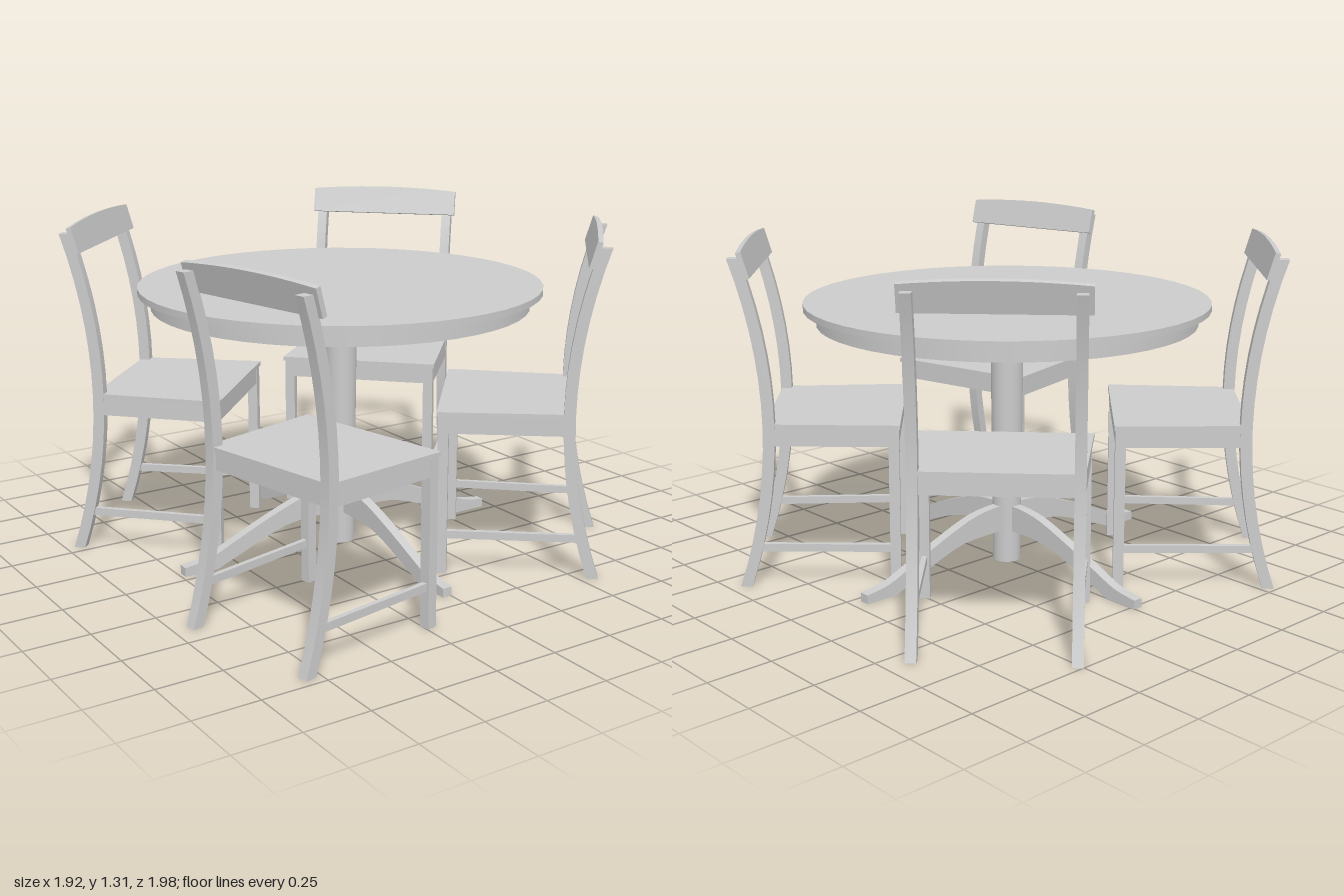
import * as THREE from 'three';
import { toCreasedNormals } from 'three/addons/utils/BufferGeometryUtils.js';

const material = new THREE.MeshStandardMaterial({ color: 0xcccccc });

function add(parent, name, geometry, x = 0, y = 0, z = 0) {
  const mesh = new THREE.Mesh(geometry, material);
  mesh.name = name;
  mesh.position.set(x, y, z);
  parent.add(mesh);
  return mesh;
}

// Side profile given as [forward, height], extruded sideways about x = 0
function sideProfile(points, width) {
  const shape = new THREE.Shape(points.map(p => new THREE.Vector2(p[0], p[1])));
  const g = new THREE.ExtrudeGeometry(shape, { depth: width, bevelEnabled: false });
  g.translate(0, 0, -width / 2).rotateY(-Math.PI / 2);
  return toCreasedNormals(g, 0.5);
}

// Straight bar between two points
function bar(parent, name, a, b, width, height) {
  const from = new THREE.Vector3(...a), to = new THREE.Vector3(...b);
  const geometry = new THREE.BoxGeometry(width, height, from.distanceTo(to));
  const mesh = add(parent, name, geometry, ...from.clone().lerp(to, 0.5).toArray());
  mesh.lookAt(to);
}

function createTable() {
  const table = new THREE.Group();
  table.name = 'table';
  const disc = (name, rTop, rBottom, y0, y1, sides) =>
    add(table, name, new THREE.CylinderGeometry(rTop, rBottom, y1 - y0, sides), 0, (y0 + y1) / 2, 0);
  disc('tableTop', 0.787, 0.787, 1.04, 1.065, 48);
  disc('tableApron', 0.738, 0.738, 0.98, 1.04, 48);
  disc('mountingDisc', 0.58, 0.58, 0.955, 0.98, 48);
  disc('column', 0.065, 0.055, 0, 0.955, 24);

  // Four curved feet along the axes
  const upper = new THREE.SplineCurve([
    [0.03, 0.235], [0.12, 0.23], [0.22, 0.21], [0.38, 0.15], [0.52, 0.09], [0.62, 0.05], [0.72, 0.035],
  ].map(p => new THREE.Vector2(...p))).getPoints(18);
  const lower = new THREE.SplineCurve([
    [0.58, 0], [0.48, 0.04], [0.34, 0.095], [0.22, 0.125], [0.03, 0.13],
  ].map(p => new THREE.Vector2(...p))).getPoints(14);
  const profile = [...upper, new THREE.Vector2(0.72, 0), ...lower].map(p => [p.x, p.y]);
  for (let i = 0; i < 4; i++) {
    add(table, 'tableFoot', sideProfile(profile, 0.04)).rotation.y = i * Math.PI / 2;
  }
  return table;
}

// Chair faces +z; its origin lies under the middle of the back rail
function createChair() {
  const chair = new THREE.Group();
  chair.name = 'chair';
  const postTop = 1.27, seatY = 0.645;

  // Bowed back posts, furthest forward at seat height
  const postZ = y => 0.077 - 0.107 * ((y / postTop) * 2 - 1) ** 2;
  const front = [], back = [];
  for (let i = 0; i <= 14; i++) {
    const y = postTop * i / 14;
    front.push([postZ(y) + 0.022, y]);
    back.unshift([postZ(y) - 0.022, y]);
  }
  const post = sideProfile([...front, ...back], 0.04);

  // Seat board, wider at the front
  const seat = new THREE.Shape([[-0.3, 0.06], [0.3, 0.06], [0.327, 0.57], [-0.327, 0.57]]
    .map(p => new THREE.Vector2(...p)));
  add(chair, 'seat', new THREE.ExtrudeGeometry(seat, { depth: 0.017, bevelEnabled: false })
    .rotateX(Math.PI / 2), 0, seatY, 0);

  const apronY = 0.595;
  for (const s of [-1, 1]) {
    add(chair, 'backPost', post, s * 0.283, 0, 0);
    add(chair, 'frontLeg', new THREE.BoxGeometry(0.04, 0.628, 0.04), s * 0.3, 0.314, 0.545);
    bar(chair, 'sideApron', [s * 0.29, apronY, 0.065], [s * 0.31, apronY, 0.56], 0.02, 0.07);
    bar(chair, 'sideStretcher', [s * 0.283, 0.155, postZ(0.155)], [s * 0.3, 0.155, 0.545], 0.02, 0.03);
  }
  bar(chair, 'frontApron', [-0.31, apronY, 0.553], [0.31, apronY, 0.553], 0.02, 0.07);
  bar(chair, 'backApron', [-0.285, apronY, 0.077], [0.285, apronY, 0.077], 0.02, 0.07);

  // Back rail with a crowned top, leaning back against the posts
  const rail = new THREE.Shape();
  rail.moveTo(-0.32, -0.058);
  rail.lineTo(0.32, -0.058);
  rail.lineTo(0.32, 0.045);
  rail.quadraticCurveTo(0, 0.075, -0.32, 0.045);
  const railGeometry = new THREE.ExtrudeGeometry(rail, { depth: 0.02, bevelEnabled: false, curveSegments: 12 });
  railGeometry.translate(0, 0, -0.01);
  add(chair, 'backRail', toCreasedNormals(railGeometry, 0.5), 0, 1.252, 0.006).rotation.x = -0.28;
  return chair;
}

export function createModel() {
  const model = new THREE.Group();
  model.name = 'diningSet';

  const table = createTable();
  table.position.set(-0.016, 0, -0.05);
  model.add(table);

  // x, z and heading of each chair
  const places = [
    [-0.717, -0.735, 0.8],
    [0.677, -0.748, -0.8],
    [0.72, 0.592, -2.286],
    [-0.828, 0.664, 1.785],
  ];
  for (const [x, z, heading] of places) {
    const chair = createChair();
    chair.position.set(x, 0, z);
    chair.rotation.y = heading;
    model.add(chair);
  }
  return model;
}
